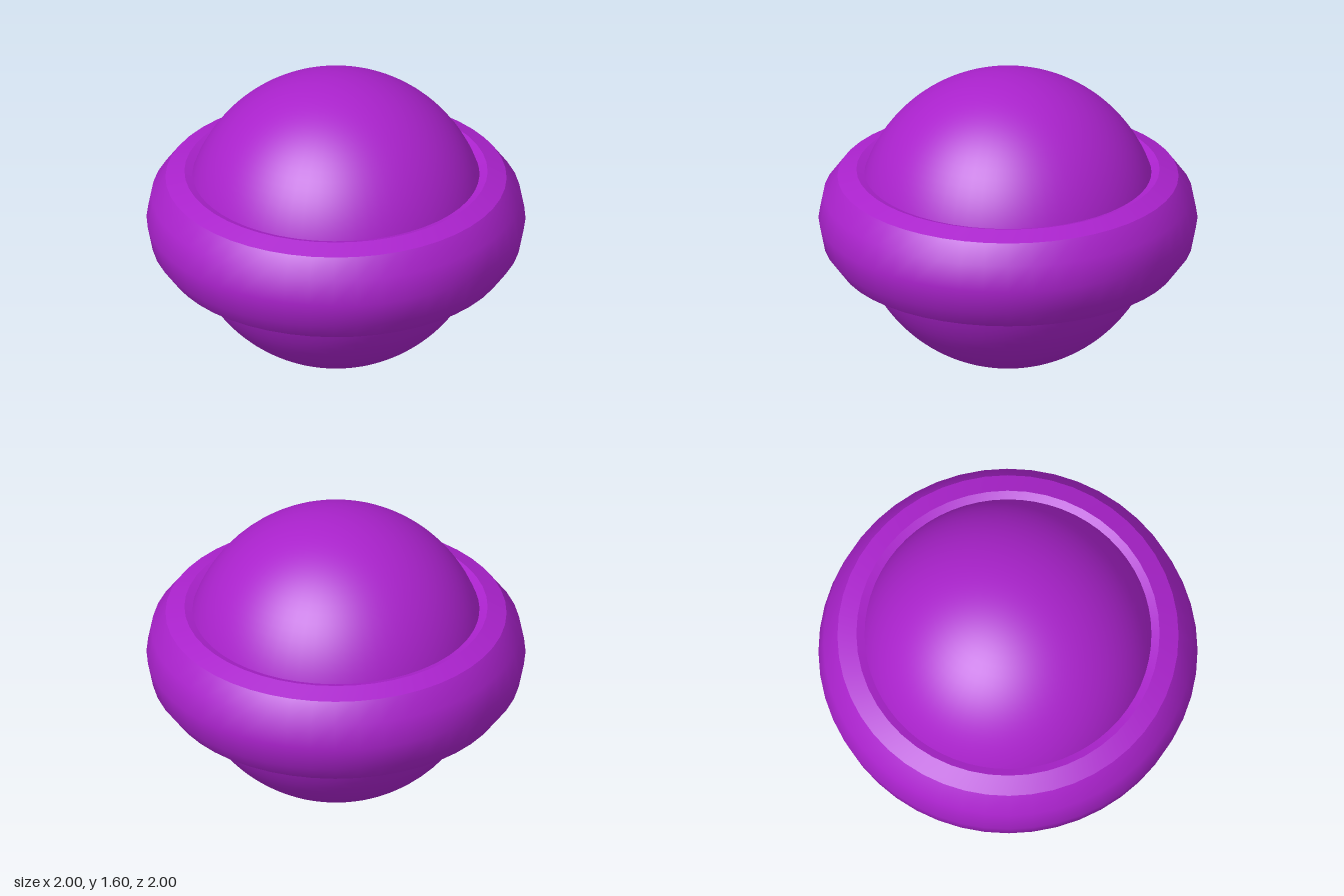
import * as THREE from 'three';
import { toCreasedNormals } from 'three/addons/utils/BufferGeometryUtils.js';

export function createModel() {
  const model = new THREE.Group();
  model.name = 'ringedBall';

  const purple = new THREE.MeshStandardMaterial({ color: 0xaa22cc });
  purple.name = 'purple';

  const add = (name, geometry) => {
    const mesh = new THREE.Mesh(geometry, purple);
    mesh.name = name;
    mesh.position.y = 0.8;
    model.add(mesh);
  };

  // Smooth central ball
  add('ball', new THREE.SphereGeometry(0.8, 64, 48));

  // Thick belt: a twelve-sided torus laid flat and stretched upwards,
  // creased at the top and bottom where its facets turn sharply
  const belt = new THREE.TorusGeometry(0.8, 0.2, 12, 48);
  belt.rotateX(-Math.PI / 2);
  belt.scale(1, 1.375, 1);
  add('belt', toCreasedNormals(belt, Math.PI / 6));

  return model;
}
